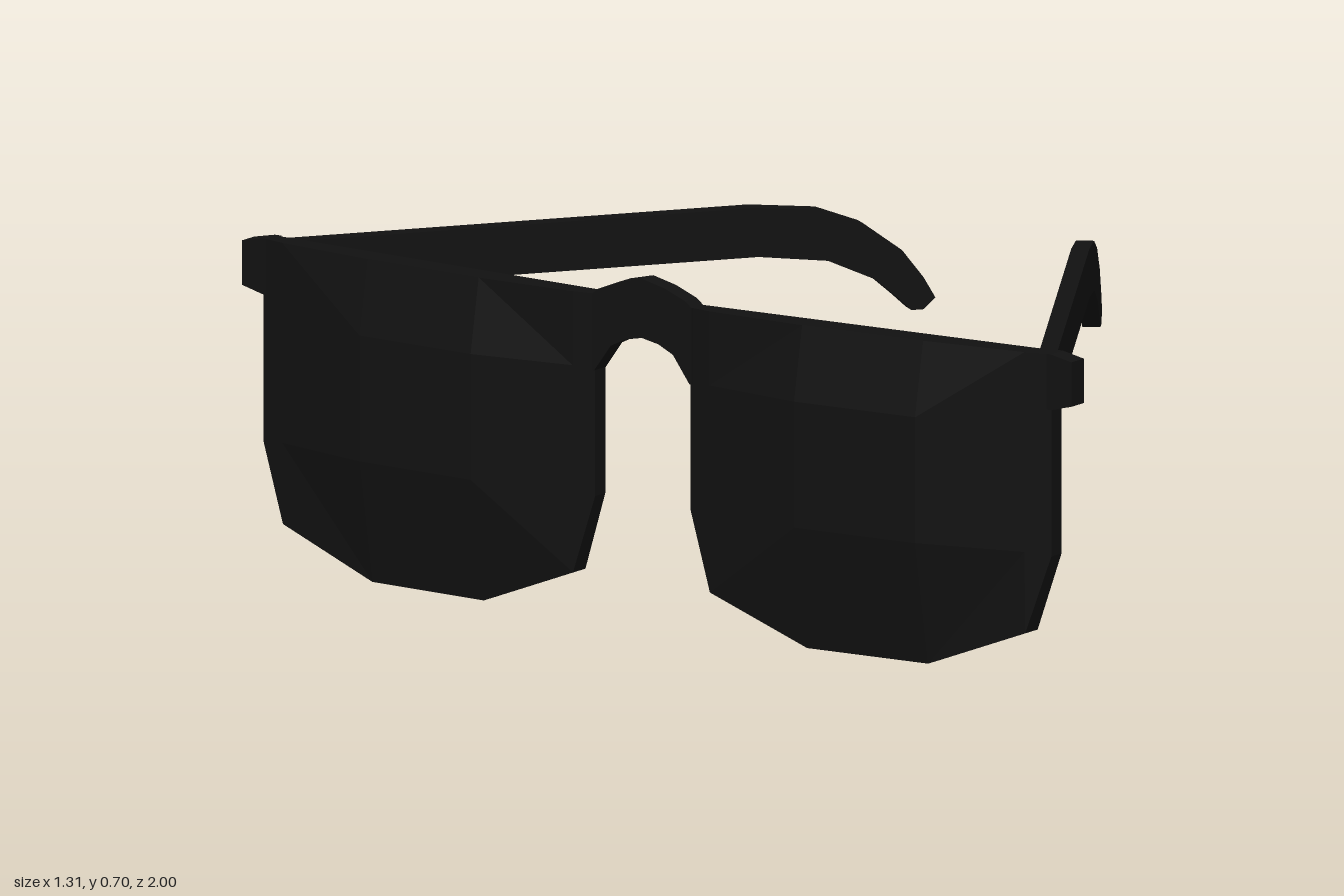
import * as THREE from 'three';

const black = new THREE.MeshStandardMaterial({ color: 0x111111, flatShading: true });

function mesh(name, geometry) {
  const m = new THREE.Mesh(geometry, black);
  m.name = name;
  return m;
}

// Extrudes an outline drawn in (u, y); depth is centred on zero
function slab(points, depth) {
  const shape = new THREE.Shape(points.map(([u, y]) => new THREE.Vector2(u, y)));
  return new THREE.ExtrudeGeometry(shape, { depth, bevelEnabled: false }).translate(0, 0, -depth / 2);
}

// Lens: columns of [z, bottom y, bulge], each a closed section with a flat back and bulged front
const COLUMNS = [
  [0.115, 0.25, 0.035], [0.165, 0.09, 0.045], [0.39, 0.003, 0.088],
  [0.67, 0.003, 0.088], [0.895, 0.09, 0.046], [0.95, 0.25, 0.035],
];

function lensGeometry(side) {
  const pos = [], idx = [], n = 6;
  const tri = (a, b, c) => (side > 0 ? idx.push(a, b, c) : idx.push(a, c, b));
  for (const [z, bottom, bulge] of COLUMNS) {
    const back = -0.58 + 0.06 * z;
    const section = [
      [0, bottom], [Math.min(bulge, 0.043), bottom], [bulge, 0.255],
      [bulge, 0.51], [Math.min(bulge, 0.06), 0.66], [0, 0.66],
    ];
    for (const [d, y] of section) pos.push(back - d, y, side * z);
  }
  for (let i = 0; i < COLUMNS.length - 1; i++) {
    for (let j = 0; j < n; j++) {
      const a = i * n + j, b = i * n + (j + 1) % n, c = b + n, d = a + n;
      tri(a, d, c);
      tri(a, c, b);
    }
  }
  // End caps
  const e = (COLUMNS.length - 1) * n;
  for (let k = 1; k < n - 1; k++) {
    tri(0, k, k + 1);
    tri(e, e + k + 1, e + k);
  }
  const g = new THREE.BufferGeometry();
  g.setAttribute('position', new THREE.Float32BufferAttribute(pos, 3));
  g.setIndex(idx);
  g.computeVertexNormals();
  return g;
}

export function createModel() {
  const model = new THREE.Group();
  model.name = 'sunglasses';

  // Front frame, turned very slightly
  const frame = new THREE.Group();
  frame.name = 'frontFrame';
  frame.rotation.y = 0.013;
  model.add(frame);

  // Arched nose bridge
  const top = [[0.12, 0.66], [0.105, 0.672], [0.055, 0.692], [0, 0.705]];
  const under = [[0, 0.585], [0.04, 0.577], [0.075, 0.56], [0.115, 0.505], [0.12, 0.505]];
  const half = [...top.slice().reverse(), ...under.slice().reverse()];
  const mirrored = half.slice(1, -1).reverse().map(([z, y]) => [-z, y]);
  const bridge = mesh('noseBridge', slab([...half, ...mirrored], 0.04));
  bridge.rotation.y = -Math.PI / 2;
  bridge.position.x = -0.592;
  frame.add(bridge);

  // Lenses and tapered hinge blocks
  const block = [[0.935, 0.547], [0.95, 0.547], [1, 0.56], [1, 0.65], [0.95, 0.66], [0.935, 0.66]];
  for (const side of [1, -1]) {
    const name = side > 0 ? 'left' : 'right';
    frame.add(mesh(name + 'Lens', lensGeometry(side)));
    const hinge = mesh(name + 'Hinge', slab(block.map(([z, y]) => [side * z, y]), 0.043));
    hinge.rotation.y = -Math.PI / 2;
    hinge.position.x = -0.539;
    frame.add(hinge);
  }

  // Temple arms with drooping ear tips, folded inward by different angles
  const arm = [
    [0, 0.55], [1.02, 0.55], [1.165, 0.532], [1.265, 0.487], [1.31, 0.448], [1.34, 0.42], [1.365, 0.42],
    [1.39, 0.442], [1.365, 0.485], [1.32, 0.543], [1.24, 0.602], [1.15, 0.636], [1.01, 0.65], [0, 0.65],
  ];
  const folds = [['leftArm', -0.53, 0.935, 0.555], ['rightArm', -0.55, -0.945, -0.619]];
  for (const [name, x, z, angle] of folds) {
    const temple = mesh(name, slab(arm, 0.036));
    temple.position.set(x, 0, z);
    temple.rotation.y = angle;
    model.add(temple);
  }
  return model;
}
